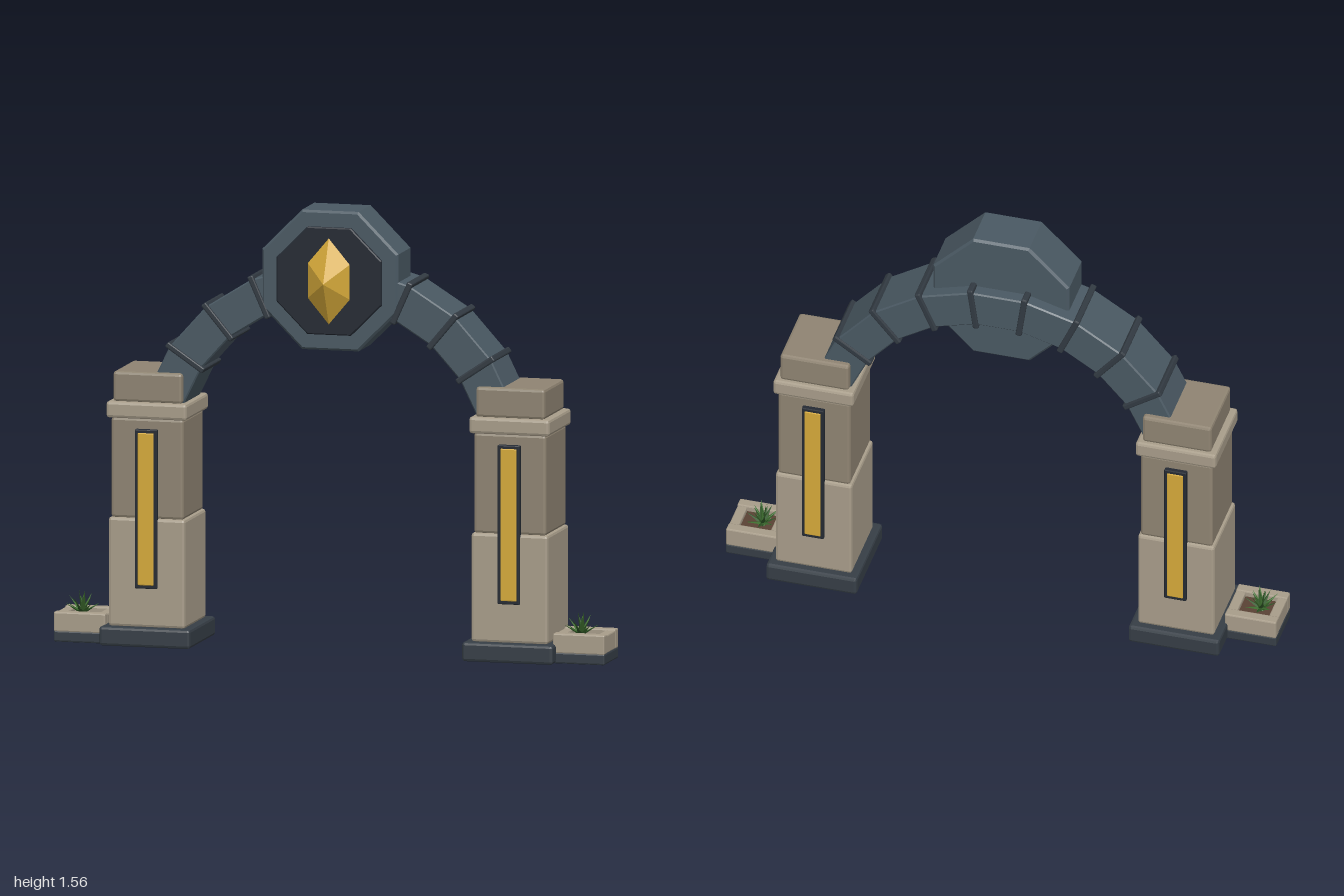
import * as THREE from 'three';
import { RoundedBoxGeometry } from 'three/addons/geometries/RoundedBoxGeometry.js';
import { ConvexGeometry } from 'three/addons/geometries/ConvexGeometry.js';

const mat = (color) => new THREE.MeshStandardMaterial({ color, flatShading: true });
const M = {
  stone: mat(0xa89d8a), stoneDark: mat(0x8f8472), slate: mat(0x4a5963), band: mat(0x323a42),
  base: mat(0x363e46), panel: mat(0x242a33), gold: mat(0xd6aa3a), soil: mat(0x5a4234),
  leaf: mat(0x3f7030), leafDark: mat(0x2f5726),
};

function add(parent, name, geometry, material) {
  const mesh = new THREE.Mesh(geometry, material);
  mesh.name = name;
  parent.add(mesh);
  return mesh;
}

// Bevelled box given by its limits on each axis
function block(parent, name, [x0, x1], [y0, y1], [z0, z1], material, bevel = 0.008) {
  const geometry = new RoundedBoxGeometry(x1 - x0, y1 - y0, z1 - z0, 1, bevel);
  geometry.translate((x0 + x1) / 2, (y0 + y1) / 2, (z0 + z1) / 2);
  return add(parent, name, geometry, material);
}

// Bevelled prism with the given outline, filling z0..z1
function prism(points, z0, z1, bevel) {
  const geometry = new THREE.ExtrudeGeometry(new THREE.Shape(points), {
    depth: z1 - z0 - 2 * bevel, bevelEnabled: true, bevelThickness: bevel,
    bevelSize: bevel, bevelOffset: -bevel, bevelSegments: 1,
  });
  return geometry.translate(0, 0, z0 + bevel);
}

function octagon(apothem) {
  const r = apothem / Math.cos(Math.PI / 8);
  return Array.from({ length: 8 }, (_, i) => {
    const a = (i + 0.5) * Math.PI / 4;
    return new THREE.Vector2(r * Math.cos(a), r * Math.sin(a));
  });
}

// Stacked stone pillar, symmetric about its own axis
function makePillar() {
  const g = new THREE.Group();
  const layers = [
    ['pillarBase', 0.165, 0, 0.068, 0.17, M.base],
    ['lowerBlock', 0.139, 0.066, 0.452, 0.14, M.stone],
    ['upperBlock', 0.131, 0.45, 0.806, 0.133, M.stoneDark],
    ['collar', 0.146, 0.804, 0.862, 0.146, M.stone],
    ['cap', 0.125, 0.86, 0.967, 0.129, M.stoneDark],
  ];
  for (const [name, w, y0, y1, d, m] of layers) block(g, name, [-w, w], [y0, y1], [-d, d], m, 0.01);
  // Gilded strips on the front and back
  for (const s of [1, -1]) {
    const strip = new THREE.Group();
    strip.name = s > 0 ? 'frontStrip' : 'backStrip';
    block(strip, 'stripFrame', [-0.04, 0.04], [0.205, 0.768], [0.12, 0.15], M.panel, 0.003);
    block(strip, 'stripInlay', [-0.029, 0.029], [0.217, 0.756], [0.125, 0.153], M.gold, 0.003);
    strip.rotation.y = s > 0 ? 0 : Math.PI;
    g.add(strip);
  }
  return g;
}

// Tuft of pointed leaves in three tiers
function makePlant() {
  const g = new THREE.Group();
  const leaf = new THREE.ConeGeometry(0.014, 0.08, 4).translate(0, 0.036, 0).scale(1, 1, 0.4);
  const tiers = [[8, 1.08, 0.95], [6, 0.6, 1.0], [3, 0.2, 1.0]];
  tiers.forEach(([count, tilt, size], t) => {
    for (let i = 0; i < count; i++) {
      const m = add(g, 'leaf', leaf, (i + t) % 2 ? M.leaf : M.leafDark);
      m.rotation.order = 'YXZ';
      m.rotation.set(tilt + 0.1 * Math.sin(i * 5), (i / count) * Math.PI * 2 + t * 0.4, 0);
      m.scale.setScalar(size * (1 + 0.1 * Math.sin(i * 3 + t)));
    }
  });
  return g;
}

// Planter beside the pillar on the +x side
function makePlanter() {
  const g = new THREE.Group();
  const zs = [-0.075, 0.11];
  block(g, 'planterBase', [0.79, 1], [0, 0.04], zs, M.base, 0.006);
  for (const z of [-0.075, 0.071]) {
    block(g, 'planterSide', [0.812, 0.999], [0.036, 0.106], [z, z + 0.039], M.stone, 0.005);
  }
  for (const x of [0.812, 0.962]) {
    block(g, 'planterEnd', [x, x + 0.036], [0.036, 0.102], [-0.04, 0.075], M.stone, 0.005);
  }
  block(g, 'soil', [0.84, 0.97], [0.036, 0.085], [-0.045, 0.08], M.soil, 0.003);
  return g;
}

function makeArch() {
  const g = new THREE.Group();
  g.name = 'arch';
  g.position.y = 0.668;
  const step = THREE.MathUtils.degToRad(16);
  const at = (r, a) => new THREE.Vector2(r * Math.sin(a), r * Math.cos(a));
  // Nine wedge stones
  for (let i = -4; i <= 4; i++) {
    const a = (i - 0.5) * step, b = (i + 0.5) * step;
    add(g, 'archStone', prism([at(0.567, b), at(0.703, b), at(0.703, a), at(0.567, a)], -0.121, 0.093, 0.005), M.slate);
  }
  // Dark bands over the joints
  for (let i = -4; i < 4; i++) {
    const band = add(g, 'archBand', new RoundedBoxGeometry(0.022, 0.162, 0.227, 1, 0.005), M.band);
    const a = (i + 0.5) * step;
    const p = at(0.635, a);
    band.position.set(p.x, p.y, -0.014);
    band.rotation.z = -a;
  }
  return g;
}

function makeMedallion() {
  const g = new THREE.Group();
  g.name = 'medallion';
  g.position.y = 1.318;
  add(g, 'medallionBody', prism(octagon(0.247), -0.075, 0.098, 0.008), M.slate);
  add(g, 'medallionPanel', prism(octagon(0.19), 0.06, 0.112, 0.004), M.panel);
  // Faceted gem with a raised centre
  const rim = [[0, 0.16], [0.08, 0.065], [0.08, -0.065], [0, -0.16], [-0.08, -0.065], [-0.08, 0.065]];
  const points = rim.map(([x, y]) => new THREE.Vector3(x, y, 0.108));
  points.push(new THREE.Vector3(0, 0, 0.187), new THREE.Vector3(0, 0, 0.05));
  add(g, 'gem', new ConvexGeometry(points), M.gold);
  return g;
}

export function createModel() {
  const model = new THREE.Group();
  model.name = 'archway';
  for (const s of [1, -1]) {
    const side = s > 0 ? 'left' : 'right';
    const pillar = makePillar();
    pillar.name = side + 'Pillar';
    pillar.position.set(s * 0.658, 0, -0.016);
    const planter = makePlanter();
    planter.name = side + 'Planter';
    planter.scale.x = s;
    const plant = makePlant();
    plant.name = side + 'Plant';
    plant.position.set(s * 0.905 - 0.016, 0.09, 0.013);
    model.add(pillar, planter, plant);
  }
  model.add(makeArch(), makeMedallion());
  return model;
}
